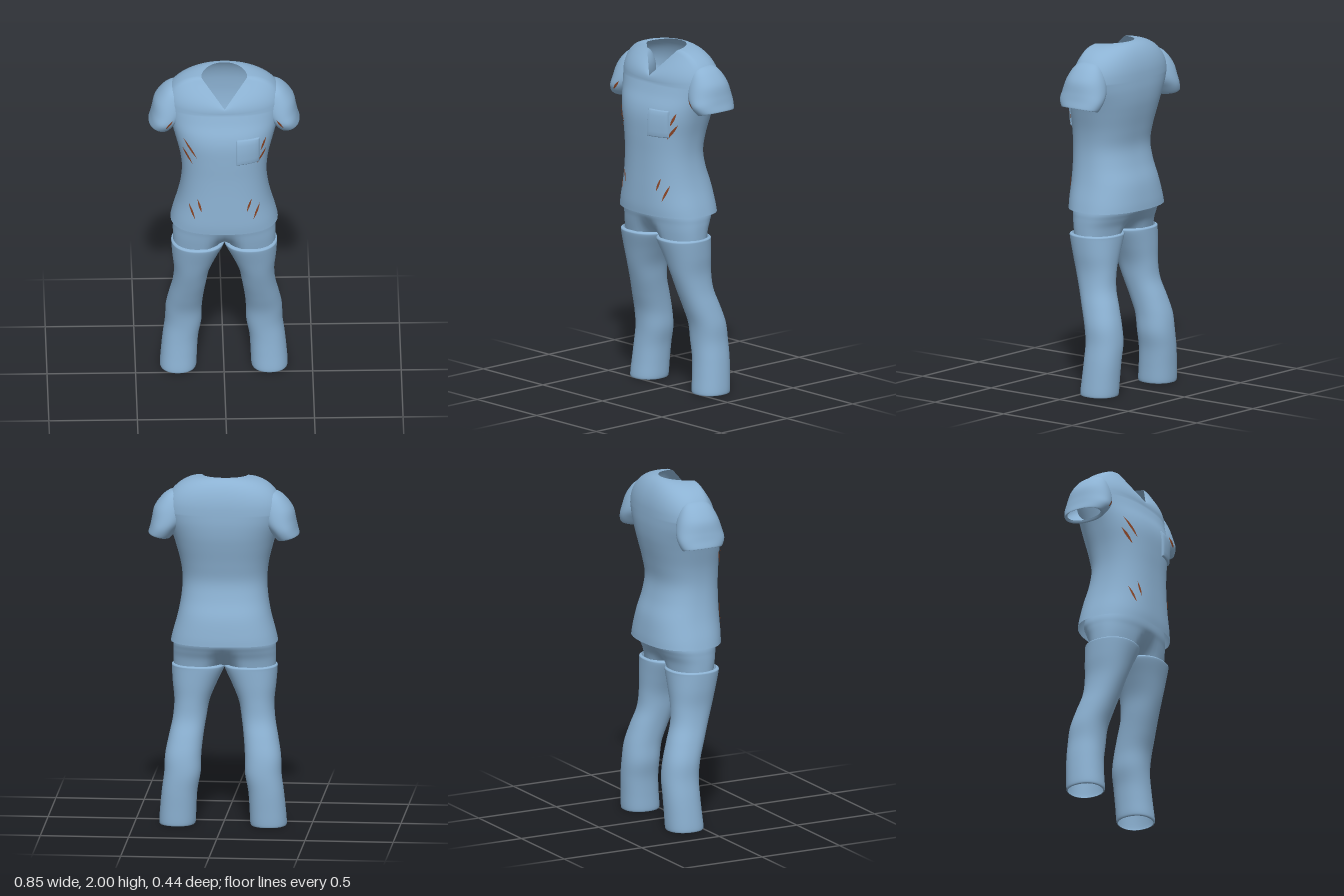
import * as THREE from 'three';

const fabric = new THREE.MeshStandardMaterial({ color: 0x8cb2d3, side: THREE.DoubleSide });
fabric.name = 'blueFabric';
const tear = new THREE.MeshStandardMaterial({ color: 0x8a4526, side: THREE.DoubleSide });
tear.name = 'brownTear';

// Cross-sections, bottom to top: [y, xMin, xMax, zFront, zBack, tilt]
const sym = (y, w, f, b) => [y, -w, w, f, b, 0];
const torsoRows = smooth([
  sym(1.045, 0.303, 0.213, -0.22), sym(1.1, 0.29, 0.216, -0.216), sym(1.2, 0.263, 0.214, -0.2),
  sym(1.3, 0.245, 0.211, -0.168), sym(1.4, 0.239, 0.21, -0.15), sym(1.5, 0.25, 0.212, -0.165),
  sym(1.6, 0.275, 0.211, -0.187), sym(1.67, 0.295, 0.198, -0.2), sym(1.74, 0.318, 0.17, -0.206),
  sym(1.8, 0.335, 0.15, -0.205),
]);
const sleeveRows = smooth([
  [1.668, 0.315, 0.415, 0.07, -0.14, 0.25], [1.658, 0.302, 0.427, 0.085, -0.155, 0.25],
  [1.7, 0.265, 0.417, 0.112, -0.17, 0.15], [1.75, 0.225, 0.408, 0.108, -0.168, 0.05],
  [1.82, 0.21, 0.393, 0.088, -0.15, 0], [1.88, 0.22, 0.35, 0.06, -0.12, 0],
  [1.91, 0.24, 0.31, 0.025, -0.085, 0], [1.918, 0.27, 0.276, -0.025, -0.035, 0],
]);
const legRows = smooth([
  [0, 0.165, 0.352, 0.006, -0.192, 0], [0.012, 0.155, 0.361, 0.015, -0.2, 0],
  [0.1, 0.151, 0.355, 0.007, -0.205, 0], [0.2, 0.144, 0.345, 0, -0.21, 0],
  [0.3, 0.126, 0.332, 0, -0.21, 0], [0.4, 0.124, 0.328, 0.012, -0.197, 0],
  [0.5, 0.115, 0.31, 0.045, -0.168, 0], [0.6, 0.101, 0.29, 0.08, -0.135, 0],
  [0.7, 0.083, 0.283, 0.113, -0.128, 0], [0.8, 0.042, 0.293, 0.14, -0.131, 0],
  [0.885, 0.001, 0.299, 0.163, -0.133, 0], [0.903, 0.002, 0.298, 0.163, -0.132, 0],
  [0.909, 0.012, 0.286, 0.15, -0.12, 0],
]);
const pelvisRows = smooth([
  sym(0.885, 0.288, 0.152, -0.122), sym(0.95, 0.29, 0.164, -0.137), sym(1.0, 0.29, 0.172, -0.16),
  sym(1.05, 0.285, 0.18, -0.178), sym(1.15, 0.25, 0.18, -0.17),
]);

// Fill in rows between the given ones with a spline
function smooth(rows, k = 5) {
  const out = [];
  const cr = (a, b, c, d, t) => b + 0.5 * t * (c - a + t * (2 * a - 5 * b + 4 * c - d + t * (3 * (b - c) + d - a)));
  for (let i = 0; i < rows.length - 1; i++) {
    const [a, b, c, d] = [rows[Math.max(i - 1, 0)], rows[i], rows[i + 1], rows[Math.min(i + 2, rows.length - 1)]];
    for (let s = 0; s < k; s++) out.push(b.map((v, q) => cr(a[q], v, c[q], d[q], s / k)));
  }
  out.push(rows[rows.length - 1]);
  return out;
}

// Superellipse ring for one row, starting at the front and turning towards +x
function ring([y, x0, x1, zf, zb, tilt], power, n = 72) {
  return Array.from({ length: n }, (_, i) => {
    const a = (i / n) * Math.PI * 2, s = Math.sin(a), c = Math.cos(a);
    const dx = Math.sign(s) * Math.abs(s) ** (2 / power) * (x1 - x0) / 2;
    const dz = Math.sign(c) * Math.abs(c) ** (2 / power) * (zf - zb) / 2;
    return new THREE.Vector3((x0 + x1) / 2 + dx, y + dx * tilt, (zf + zb) / 2 + dz);
  });
}

// Skin a grid of points; closed grids wrap around
function skin(rings, closed = true) {
  const n = rings[0].length, idx = [];
  for (let r = 0; r < rings.length - 1; r++) {
    for (let i = 0; i < (closed ? n : n - 1); i++) {
      const j = (i + 1) % n, a = r * n + i, b = r * n + j;
      idx.push(a, b, b + n, a, b + n, a + n);
    }
  }
  const g = new THREE.BufferGeometry().setFromPoints(rings.flat());
  g.setIndex(idx);
  g.computeVertexNormals();
  return g;
}

// Front depth of a lofted part at (x, y)
function depth(rows, power, x, y) {
  let best = -1;
  for (let i = 0; i < rows.length - 1; i++) {
    const a = rows[i], b = rows[i + 1];
    if (y < a[0] || y > b[0]) continue;
    const t = (y - a[0]) / (b[0] - a[0]);
    const [, x0, x1, zf, zb] = a.map((v, q) => v + (b[q] - v) * t);
    const u = Math.abs(x - (x0 + x1) / 2) / ((x1 - x0) / 2);
    if (u < 1) best = Math.max(best, (zf + zb) / 2 + (1 - u ** power) ** (1 / power) * (zf - zb) / 2);
  }
  return best;
}
const frontZ = (x, y) => {
  const z = Math.max(depth(torsoRows, 2.4, x, y), depth(sleeveRows, 2.2, Math.abs(x), y));
  return z > -1 ? z : 0;
};

// Neckline: V at the front, round at the back; t runs 0 (front) to 1 (back)
function neckline(t, side) {
  if (t < 0.4) {
    const k = t / 0.4;
    return new THREE.Vector3(side * 0.13 * k, 1.835 + 0.155 * k, 0.143 - 0.098 * k);
  }
  const q = ((t - 0.4) / 0.6) * Math.PI / 2;
  return new THREE.Vector3(side * 0.13 * Math.cos(q), 1.99 + 0.01 * Math.sin(q), 0.045 - 0.145 * Math.sin(q));
}

function torsoGeometry() {
  const rings = torsoRows.map(r => ring(r, 2.4));
  const base = rings[rings.length - 1], n = base.length;
  // Shoulders round over from the last level ring to the neckline
  for (let k = 1; k <= 14; k++) {
    const s = (k / 14) ** 1.6, lift = Math.sqrt(1 - (1 - s) ** 2);
    rings.push(base.map((p, i) => {
      const f = (i / n) * 2;
      const e = neckline(f <= 1 ? f : 2 - f, f <= 1 ? 1 : -1);
      return new THREE.Vector3(p.x + (e.x - p.x) * s, p.y + (e.y - p.y) * lift, p.z + (e.z - p.z) * s);
    }));
  }
  return skin(rings);
}

// Hips narrow to a cleft between the legs
function pelvisGeometry() {
  return skin(pelvisRows.map(row => ring(row, 2.4).map(p => {
    const depthOfCleft = 0.88 * Math.min(1, Math.max(0, (1.04 - p.y) / 0.15)) ** 2;
    const zc = (row[3] + row[4]) / 2;
    p.z = zc + (p.z - zc) * (1 - depthOfCleft * Math.exp(-((p.x / 0.06) ** 2)));
    return p;
  })));
}

// Raised patch following the chest, its rim meeting the shirt
function pocketGeometry() {
  const us = [0, 0.001, 0.04, 0.2, 0.4, 0.6, 0.8, 0.96, 0.999, 1];
  return skin(us.map(v => us.map(u => {
    const x = 0.065 + 0.13 * u, y = 1.51 + 0.155 * v;
    const edge = Math.min(u, v, 1 - u, 1 - v);
    const h = edge === 0 ? -0.004 : edge < 0.01 ? 0.009 : 0.014;
    return new THREE.Vector3(x, y, frontZ(x, y) + h);
  })), false);
}

// Thin tapered strip laid on the cloth
function slashGeometry([x0, y0, x1, y1]) {
  const len = Math.hypot(x1 - x0, y1 - y0), nx = (y1 - y0) / len, ny = -(x1 - x0) / len;
  return skin(Array.from({ length: 11 }, (_, i) => {
    const t = i / 10, w = 0.0055 * Math.sin(Math.PI * t) + 0.0005;
    return [-w, w].map(o => {
      const x = x0 + (x1 - x0) * t + nx * o, y = y0 + (y1 - y0) * t + ny * o;
      return new THREE.Vector3(x + Math.sign(x) * 0.003, y, frontZ(x, y) + 0.005);
    });
  }), false);
}

export function createModel() {
  const model = new THREE.Group();
  model.name = 'tornOutfit';
  const add = (name, geometry, material = fabric) => {
    const mesh = new THREE.Mesh(geometry, material);
    mesh.name = name;
    model.add(mesh);
  };

  add('shirtBody', torsoGeometry());
  add('chestPocket', pocketGeometry());
  add('trouserHips', pelvisGeometry());

  // Sleeves and trouser legs, mirrored
  for (const [side, label] of [[1, 'left'], [-1, 'right']]) {
    const flip = rows => (side > 0 ? rows : rows.map(([y, a, b, f, k, t]) => [y, -b, -a, f, k, -t]));
    add(label + 'Sleeve', skin(flip(sleeveRows).map(r => ring(r, 2.2, 48))));
    add(label + 'TrouserLeg', skin(flip(legRows).map(r => ring(r, 2.2, 48))));
  }

  // Tears in the cloth
  [
    [-0.33, 1.69, -0.29, 1.74], [0.33, 1.69, 0.29, 1.74],
    [-0.235, 1.59, -0.18, 1.5], [-0.23, 1.655, -0.155, 1.545],
    [0.233, 1.585, 0.18, 1.5], [0.23, 1.655, 0.2, 1.58],
    [-0.2, 1.23, -0.165, 1.14], [-0.15, 1.27, -0.128, 1.19],
    [0.195, 1.23, 0.16, 1.14], [0.147, 1.27, 0.122, 1.195],
  ].forEach((s, i) => add('tear' + (i + 1), slashGeometry(s), tear));

  return model;
}
